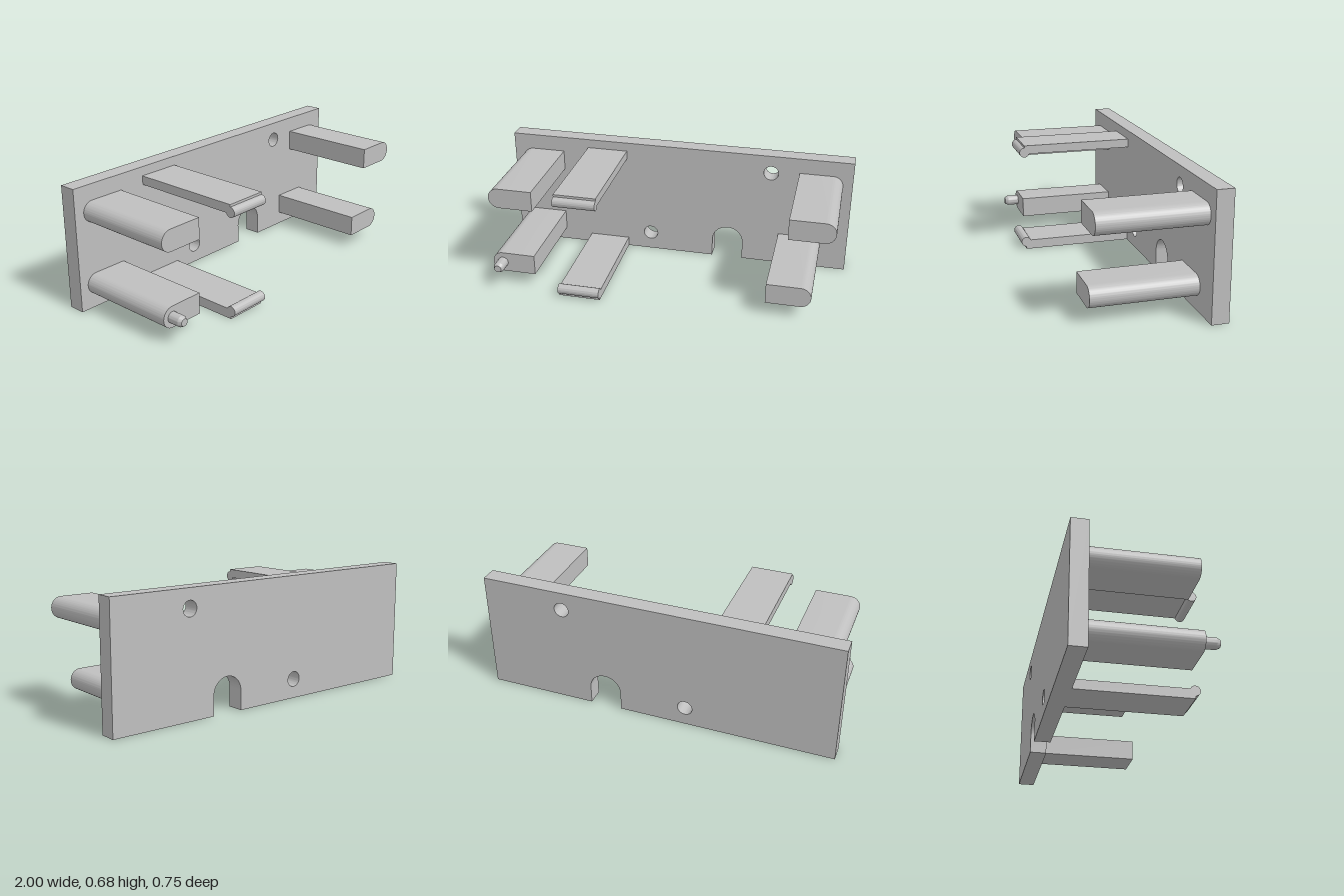
import * as THREE from 'three';
import { toCreasedNormals } from 'three/addons/utils/BufferGeometryUtils.js';

const BACK = -0.375, FACE = -0.282, POST_END = 0.284;

function extrude(shape, depth) {
  const geo = new THREE.ExtrudeGeometry(shape, { depth, bevelEnabled: false, curveSegments: 32 });
  return toCreasedNormals(geo, 0.5);
}

// Back plate outline with an arched cut-out and two round holes
function plateGeometry() {
  const s = new THREE.Shape();
  s.moveTo(-1, 0);
  s.lineTo(0.212, 0);
  s.lineTo(0.212, 0.108);
  s.absarc(0.302, 0.108, 0.09, Math.PI, 0, true);
  s.lineTo(0.392, 0);
  s.lineTo(1, 0);
  s.lineTo(1, 0.682);
  s.lineTo(-1, 0.682);
  s.closePath();
  for (const [x, y] of [[0.54, 0.577], [-0.167, 0.107]]) {
    s.holes.push(new THREE.Path().absarc(x, y, 0.042, 0, Math.PI * 2, true));
  }
  return extrude(s, FACE - BACK).translate(0, 0, BACK);
}

// Post with a flat inner end and a rounded outer end
function postGeometry(flatX, roundX, y) {
  const r = 0.058, side = Math.sign(roundX - flatX), cx = roundX - side * r;
  const s = new THREE.Shape();
  s.moveTo(flatX, y - side * r);
  s.lineTo(cx, y - side * r);
  s.absarc(cx, y, r, -side * Math.PI / 2, -side * Math.PI / 2 + Math.PI, false);
  s.lineTo(flatX, y + side * r);
  s.closePath();
  return extrude(s, POST_END - FACE).translate(0, 0, FACE);
}

// Flat arm ending in a round bead, drawn in side profile; dir = 1 puts the bead below
function clipGeometry(outer, inner, beadY, dir) {
  const r = 0.028, tip = 0.348;
  const end = -dir * (Math.PI - Math.asin(Math.abs(inner - beadY) / r));
  const s = new THREE.Shape();
  s.moveTo(FACE, outer);
  s.lineTo(tip, outer);
  s.lineTo(tip, beadY + dir * r);
  s.absarc(tip, beadY, r, dir * Math.PI / 2, end, dir > 0);
  s.lineTo(FACE, inner);
  s.closePath();
  return extrude(s, 0.235).rotateY(-Math.PI / 2).translate(-0.308, 0, 0);
}

// Locating pin with a chamfered tip
function pinGeometry() {
  const profile = [[0, 0], [0.03, 0], [0.03, 0.064], [0.02, 0.083], [0, 0.083]]
    .map(([x, y]) => new THREE.Vector2(x, y));
  const geo = toCreasedNormals(new THREE.LatheGeometry(profile, 32), 0.4);
  return geo.rotateX(Math.PI / 2).translate(-0.893, 0.133, POST_END);
}

export function createModel() {
  const group = new THREE.Group();
  group.name = 'mountingBracket';
  const grey = new THREE.MeshStandardMaterial({ color: 0xbfbfbf });
  grey.name = 'grey plastic';
  const add = (name, geo) => {
    const mesh = new THREE.Mesh(geo, grey);
    mesh.name = name;
    group.add(mesh);
  };

  add('backPlate', plateGeometry());
  add('upperRightPost', postGeometry(-0.695, -0.945, 0.536));
  add('lowerRightPost', postGeometry(-0.705, -0.951, 0.134));
  add('upperLeftPost', postGeometry(0.7, 0.946, 0.536));
  add('lowerLeftPost', postGeometry(0.602, 0.847, 0.134));
  add('locatingPin', pinGeometry());
  add('upperClip', clipGeometry(0.631, 0.582, 0.59, 1));
  add('lowerClip', clipGeometry(0, 0.054, 0.044, -1));
  return group;
}
